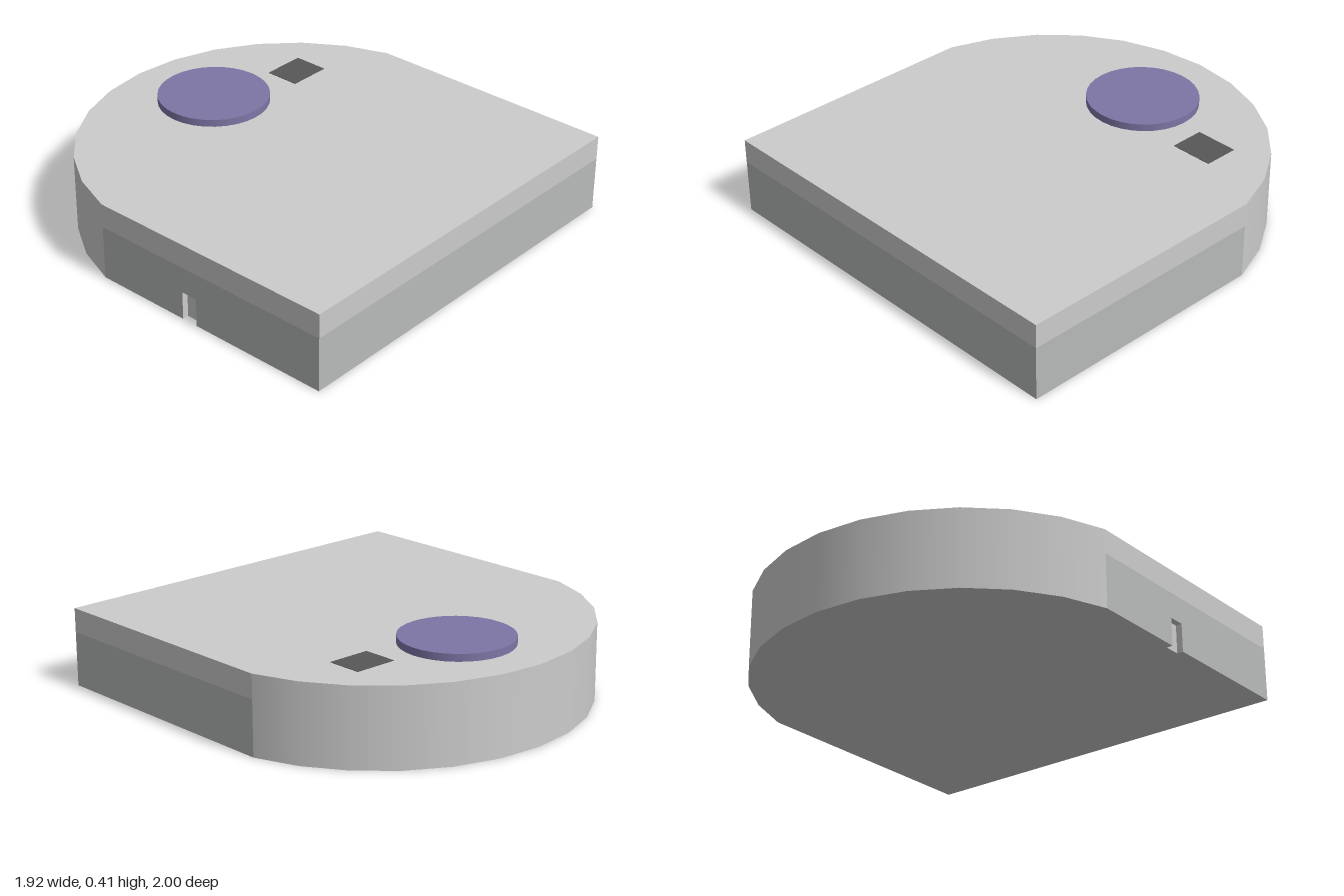
import * as THREE from 'three';
import { mergeGeometries } from 'three/addons/utils/BufferGeometryUtils.js';

const H = 0.375, BAND = 0.26, R = 0.99, CZ = -0.01, SEG = 12;
const START = THREE.MathUtils.degToRad(104), SWEEP = THREE.MathUtils.degToRad(152);
const X = R * Math.sin(START), ZS = CZ + R * Math.cos(START);
const NOTCH = { z0: 0.23, z1: 0.31, depth: 0.03, height: 0.135 };

const grey = new THREE.MeshStandardMaterial({ color: 0xcccccc });
const bandGrey = new THREE.MeshStandardMaterial({ color: 0xb7bab8 });
const purple = new THREE.MeshStandardMaterial({ color: 0x7e75a5 });
const dark = new THREE.MeshStandardMaterial({ color: 0x575757 });

// Upright walls along an [x, z] path, facing outward
function walls(path, y0, y1) {
  const planes = [];
  for (let i = 0; i + 1 < path.length; i++) {
    const [ax, az] = path[i], [bx, bz] = path[i + 1];
    const g = new THREE.PlaneGeometry(Math.hypot(bx - ax, bz - az), y1 - y0);
    g.rotateY(Math.atan2(az - bz, bx - ax));
    g.translate((ax + bx) / 2, (y0 + y1) / 2, (az + bz) / 2);
    planes.push(g);
  }
  return mergeGeometries(planes);
}

// Flat horizontal face with an [x, z] outline
function cap(outline, y, up) {
  const s = up ? -1 : 1;
  const shape = new THREE.Shape(outline.map(([x, z]) => new THREE.Vector2(x, s * z)));
  return new THREE.ShapeGeometry(shape).rotateX(s * Math.PI / 2).translate(0, y, 0);
}

export function createModel() {
  const model = new THREE.Group();
  const add = (name, geometry, material, parent = model) => {
    const mesh = new THREE.Mesh(geometry, material);
    mesh.name = name;
    parent.add(mesh);
    return mesh;
  };

  // Body outline: straight sides and front, rounded back
  const sides = [[-X, ZS], [-X, 1], [X, 1], [X, ZS]];
  const arc = [];
  for (let i = 1; i < SEG; i++) {
    const a = START + SWEEP * i / SEG;
    arc.push([R * Math.sin(a), CZ + R * Math.cos(a)]);
  }
  const { z0, z1, depth, height } = NOTCH;
  const recess = [[-X, z0], [-X + depth, z0], [-X + depth, z1], [-X, z1]];

  const body = new THREE.Group();
  body.name = 'body';
  model.add(body);
  add('topFace', cap([...sides, ...arc], H, true), grey, body);
  add('bottomFace', cap([sides[0], ...recess, ...sides.slice(1), ...arc], 0, false), grey, body);
  add('roundedBack', new THREE.CylinderGeometry(R, R, H, SEG, 1, true, START, SWEEP)
    .translate(0, H / 2, CZ), grey, body);
  add('upperSides', walls(sides, BAND, H), grey, body);

  // Tinted lower band, broken by the small notch
  add('lowerSides', mergeGeometries([
    walls(sides, height, BAND),
    walls([sides[0], recess[0]], 0, height),
    walls([recess[3], ...sides.slice(1)], 0, height),
  ]), bandGrey, body);
  add('notch', mergeGeometries([walls(recess, 0, height), cap(recess, height, false)]), grey, body);

  // Raised disc and flat dark plate on top
  add('disc', new THREE.CylinderGeometry(0.265, 0.265, 0.035, 32), purple)
    .position.set(0.047, H + 0.0175, -0.55);
  add('plate', new THREE.BoxGeometry(0.21, 0.004, 0.17), dark)
    .position.set(0.523, H, -0.455);

  return model;
}
